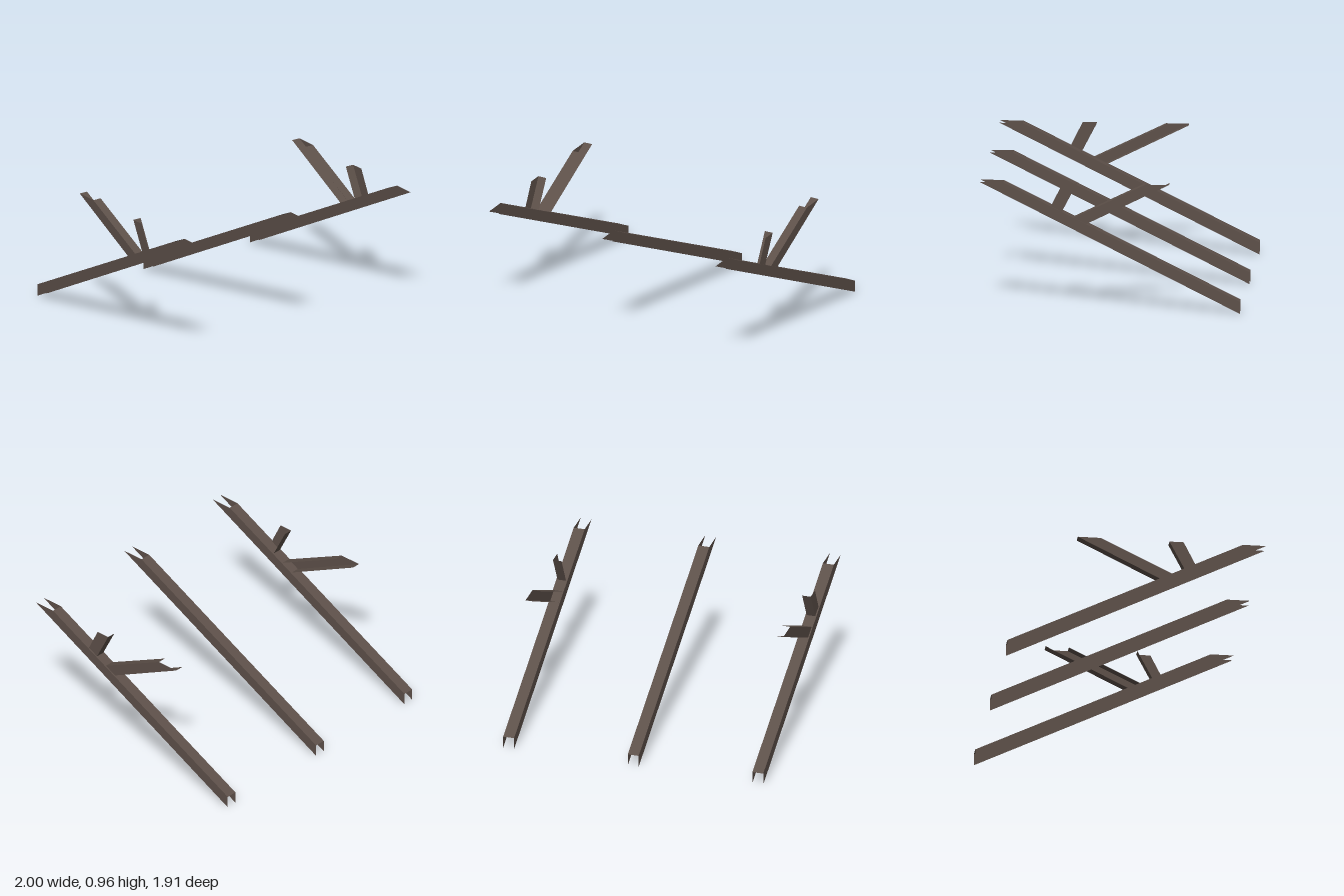
import * as THREE from 'three';

// Thin sheet-metal member: a four-corner [z, y] profile, counter-clockwise seen from +x.
// sheets: profile edges that carry a sheet across the width; walls: x positions of side walls.
function member(name, material, x0, x1, profile, sheets, walls) {
  const pos = [];
  const quad = (a, b, c, d) => [a, b, c, a, c, d].forEach((p) => pos.push(...p));
  const at = (x, i) => [x, profile[i % 4][1], profile[i % 4][0]];
  for (const i of sheets) quad(at(x1, i), at(x0, i), at(x0, i + 1), at(x1, i + 1));
  for (const x of walls) {
    const order = x === x1 ? [0, 1, 2, 3] : [3, 2, 1, 0];
    quad(...order.map((i) => at(x, i)));
  }
  const geometry = new THREE.BufferGeometry();
  geometry.setAttribute('position', new THREE.Float32BufferAttribute(pos, 3));
  geometry.computeVertexNormals();
  const mesh = new THREE.Mesh(geometry, material);
  mesh.name = name;
  return mesh;
}

export function createModel() {
  const group = new THREE.Group();
  group.name = 'slopedBeams';
  const brown = new THREE.MeshStandardMaterial({ color: 0x5d5049, side: THREE.DoubleSide });
  brown.name = 'dark brown';

  const beam = [[0.957, 0.96], [-0.957, 0], [-0.957, 0.09], [0.785, 0.96]];
  const longBrace = [[0.267, 0.7], [0.175, 0.655], [-0.435, 0.96], [-0.263, 0.96]];
  const shortBrace = [[0.435, 0.785], [0.355, 0.743], [0.243, 0.96], [0.348, 0.96]];

  // Three sloped channels, open underneath and at the ends
  for (const [name, x] of [['rightBeam', -0.958], ['middleBeam', 0], ['leftBeam', 0.958]]) {
    const x0 = x - 0.042, x1 = x + 0.042;
    group.add(member(name, brown, x0, x1, beam, [2], [x0, x1]));
  }

  // Braces on the outer beams, each with its wall on the outer side
  for (const [side, s] of [['right', -1], ['left', 1]]) {
    const x0 = s * 0.958 - 0.033, x1 = s * 0.958 + 0.033;
    const outer = s > 0 ? x1 : x0;
    group.add(member(side + 'LongBrace', brown, x0, x1, longBrace, [1, 3], [outer]));
    group.add(member(side + 'ShortBrace', brown, x0, x1, shortBrace, [1], [outer]));
  }
  return group;
}
